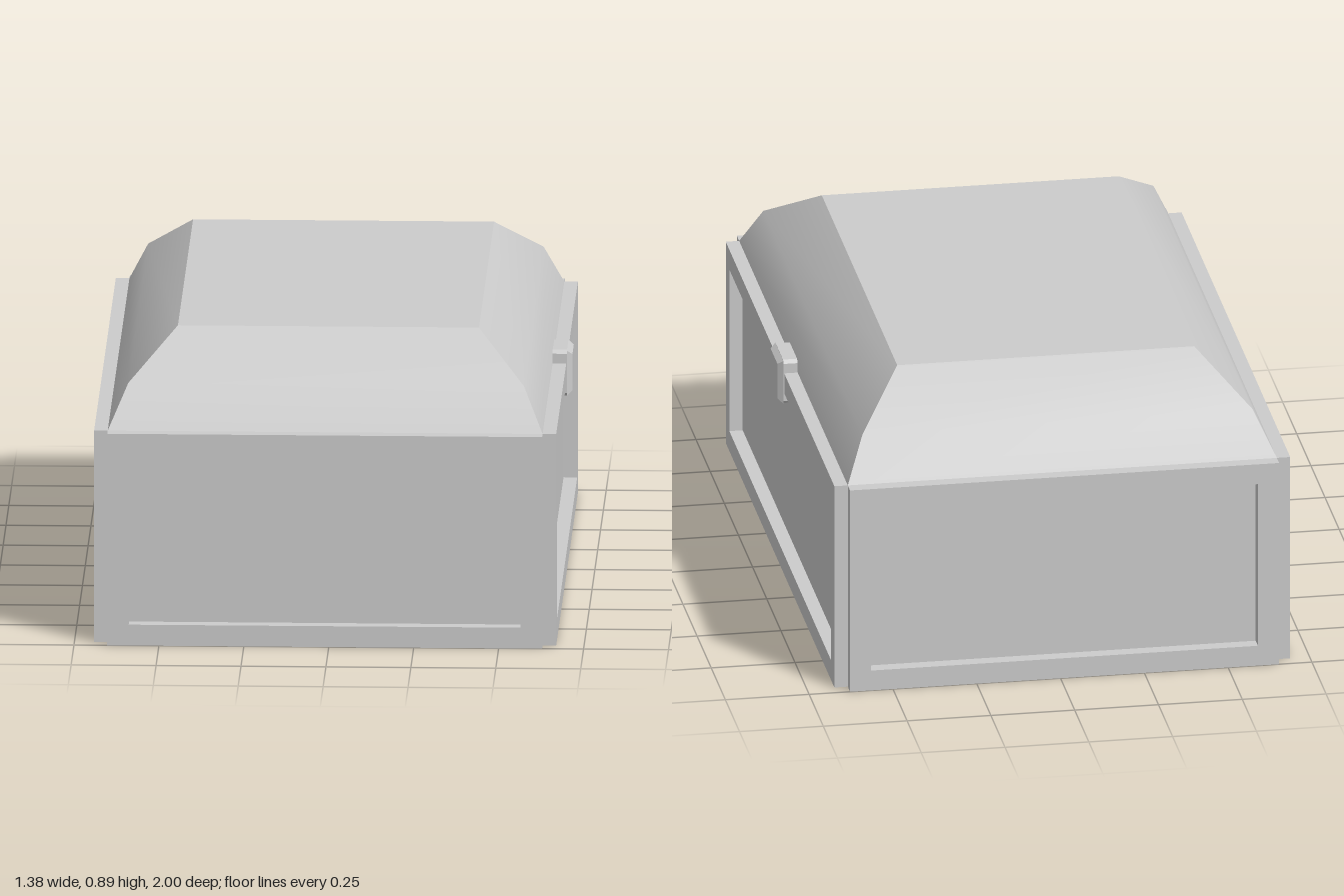
import * as THREE from 'three';

const W = 1.28, H = 0.64, D = 1.92; // core width, wall height, core depth
const T = 0.04;                     // frame thickness
const CX = -0.012;                  // chest centre; the clasp sticks out on +x

const material = new THREE.MeshStandardMaterial({ color: 0xcccccc });

function addMesh(parent, name, geometry) {
  const mesh = new THREE.Mesh(geometry, material);
  mesh.name = name;
  parent.add(mesh);
  return mesh;
}

// Rectangular border with an open window, extruded along +z
function frameGeometry(width) {
  const w = width / 2, b = 0.063;
  const shape = new THREE.Shape([[-w, 0], [w, 0], [w, H], [-w, H]].map(p => new THREE.Vector2(...p)));
  shape.holes.push(new THREE.Path(
    [[-w + b, b], [-w + b, H - b], [w - b, H - b], [w - b, b]].map(p => new THREE.Vector2(...p))));
  return new THREE.ExtrudeGeometry(shape, { depth: T, bevelEnabled: false });
}

// Lid cross-sections: half width, height, half depth
const rings = [[W / 2, H, D / 2], [0.582, 0.765, 0.877], [0.443, 0.89, 0.667]];
const corners = [[-1, 1], [1, 1], [1, -1], [-1, -1]];
const ringPoint = (ring, i) => {
  const [hx, y, hz] = rings[ring], [sx, sz] = corners[i % 4];
  return [sx * hx, y, sz * hz];
};

// Each lid side is smooth along its slope and sharp at the corners
function lidSide(i) {
  const points = [], index = [];
  rings.forEach((_, r) => points.push(...ringPoint(r, i), ...ringPoint(r, i + 1)));
  for (let r = 0; r < rings.length - 1; r++) {
    const a = r * 2;
    index.push(a, a + 1, a + 3, a, a + 3, a + 2);
  }
  const g = new THREE.BufferGeometry();
  g.setAttribute('position', new THREE.Float32BufferAttribute(points, 3));
  g.setIndex(index);
  g.computeVertexNormals();
  return g;
}

export function createModel() {
  const root = new THREE.Group();
  root.name = 'chest';
  const chest = new THREE.Group();
  chest.name = 'chestBody';
  chest.position.x = CX;
  root.add(chest);

  // Core box
  addMesh(chest, 'core', new THREE.BoxGeometry(W, H, D).translate(0, H / 2, 0));

  // Raised frames on the four walls
  ['front', 'left', 'back', 'right'].forEach((side, i) => {
    const along = i % 2 ? D : W, out = i % 2 ? W / 2 : D / 2;
    addMesh(chest, side + 'Frame', frameGeometry(along).translate(0, 0, out).rotateY(i * Math.PI / 2));
  });

  // Domed lid
  const lid = new THREE.Group();
  lid.name = 'lid';
  chest.add(lid);
  corners.forEach((_, i) => addMesh(lid, 'lidSlope', lidSide(i)));
  const [tx, ty, tz] = rings[2];
  addMesh(lid, 'lidTop', new THREE.PlaneGeometry(tx * 2, tz * 2).rotateX(-Math.PI / 2).translate(0, ty, 0));

  // Clasp: block with trimmed corners and a chamfered outer face
  const c = 0.01, hw = 0.074, hh = 0.069;
  const outline = (w, h) => [[-w + c, -h], [w - c, -h], [w, -h + c], [w, h - c],
    [w - c, h], [-w + c, h], [-w, h - c], [-w, -h + c]].map(p => new THREE.Vector2(...p));
  const clasp = new THREE.ExtrudeGeometry(new THREE.Shape(outline(hw, hh)), { depth: 0.06, bevelEnabled: false });
  const pos = clasp.attributes.position;
  for (let i = 0; i < pos.count; i++) {
    if (pos.getZ(i) < 0.01) pos.setZ(i, 0);
    else pos.setZ(i, 0.042);
  }
  clasp.computeVertexNormals();
  const cap = new THREE.CylinderGeometry(1, 1, 1, 4, 1).toNonIndexed(); // chamfered front
  const cp = cap.attributes.position;
  for (let i = 0; i < cp.count; i++) {
    const outer = cp.getY(i) > 0, k = outer ? 0.014 : 0.001;
    const angle = Math.atan2(cp.getZ(i), cp.getX(i)) + Math.PI / 4;
    const centre = Math.hypot(cp.getX(i), cp.getZ(i)) < 0.1;
    const sy = centre ? 0 : Math.sign(Math.cos(angle)), sz = centre ? 0 : Math.sign(Math.sin(angle));
    cp.setXYZ(i, outer ? 0.058 : 0.042, sy * (hh - k), sz * (hw - k));
  }
  // Keep faces pointing outward after remapping the axes
  const a = new THREE.Vector3(), b = new THREE.Vector3(), d = new THREE.Vector3();
  const mid = new THREE.Vector3(0.05, 0, 0);
  for (let i = 0; i < cp.count; i += 3) {
    a.fromBufferAttribute(cp, i); b.fromBufferAttribute(cp, i + 1); d.fromBufferAttribute(cp, i + 2);
    const n = b.clone().sub(a).cross(d.clone().sub(a));
    if (n.dot(a.clone().add(b).add(d).divideScalar(3).sub(mid)) < 0) {
      cp.setXYZ(i + 1, d.x, d.y, d.z);
      cp.setXYZ(i + 2, b.x, b.y, b.z);
    }
  }
  cap.computeVertexNormals();
  const claspGroup = new THREE.Group();
  claspGroup.name = 'clasp';
  claspGroup.position.set(0.628, 0.611, 0);
  addMesh(claspGroup, 'claspBlock', clasp.rotateY(Math.PI / 2));
  addMesh(claspGroup, 'claspFace', cap);
  root.add(claspGroup);

  return root;
}
